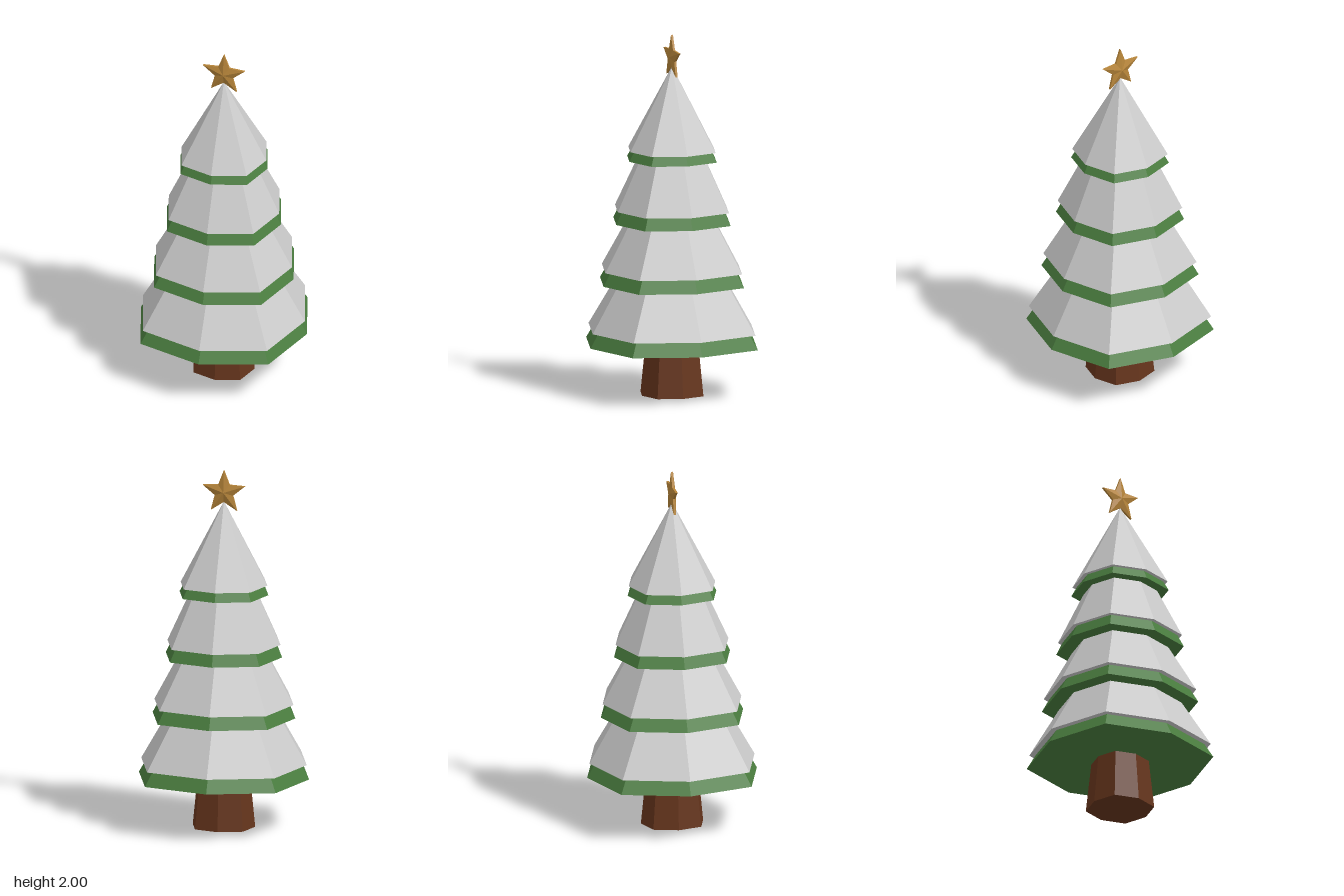
import * as THREE from 'three';

const material = (color) => new THREE.MeshStandardMaterial({ color, flatShading: true });

// Eight-sided frustum standing at height y, with its diagonal corners pushed out slightly
function octagon(name, rTop, rBottom, y, height, mat) {
  const geo = new THREE.CylinderGeometry(rTop, rBottom, height, 8);
  const pos = geo.attributes.position;
  for (let i = 0; i < pos.count; i++) {
    const x = pos.getX(i), z = pos.getZ(i);
    if (Math.min(Math.abs(x), Math.abs(z)) > 1e-4) {
      pos.setX(i, x * 1.086);
      pos.setZ(i, z * 1.086);
    }
  }
  geo.translate(0, y + height / 2, 0);
  geo.computeVertexNormals();
  const mesh = new THREE.Mesh(geo, mat);
  mesh.name = name;
  return mesh;
}

// Faceted five-pointed star: thin rim, with a raised point in the middle of each face
function starGeometry(outer, inner, rim, depth) {
  const verts = [];
  const point = (i, z) => {
    const a = Math.PI / 2 + (i * Math.PI) / 5;
    const r = i % 2 ? inner : outer;
    return [r * Math.cos(a), r * Math.sin(a), z];
  };
  for (let i = 0; i < 10; i++) {
    const f0 = point(i, rim), f1 = point(i + 1, rim);
    const b0 = point(i, -rim), b1 = point(i + 1, -rim);
    verts.push(...f0, ...f1, 0, 0, depth);
    verts.push(...b1, ...b0, 0, 0, -depth);
    verts.push(...b0, ...b1, ...f1, ...b0, ...f1, ...f0);
  }
  const geo = new THREE.BufferGeometry();
  geo.setAttribute('position', new THREE.Float32BufferAttribute(verts, 3));
  geo.computeVertexNormals();
  return geo;
}

export function createModel() {
  const tree = new THREE.Group();
  tree.name = 'snowyTree';
  const bark = material(0x66351c);
  const green = material(0x4a7d3f);
  const snow = material(0xcccccc);
  const gold = material(0xb8863a);

  tree.add(octagon('trunk', 0.145, 0.175, 0, 0.3, bark));

  // Tiers: branch base height and radius, snow base height and radius, snow tip height
  const tiers = [
    [0.28, 0.477, 0.36, 0.464, 1.17],
    [0.62, 0.4, 0.695, 0.39, 1.42],
    [0.96, 0.326, 1.03, 0.317, 1.72],
    [1.307, 0.249, 1.36, 0.243, 1.825],
  ];
  tiers.forEach(([y, r, snowY, snowR, tip], i) => {
    const tier = new THREE.Group();
    tier.name = `tier${i + 1}`;
    // Branches run parallel to the snow, just beneath it
    const height = (r * (tip - snowY)) / snowR;
    tier.add(octagon('branches', 0, r, y, height, green));
    tier.add(octagon('snow', 0, snowR, snowY, tip - snowY, snow));
    tree.add(tier);
  });

  const star = new THREE.Mesh(starGeometry(0.125, 0.054, 0.006, 0.021), gold);
  star.name = 'star';
  star.position.y = 1.875;
  tree.add(star);

  return tree;
}
